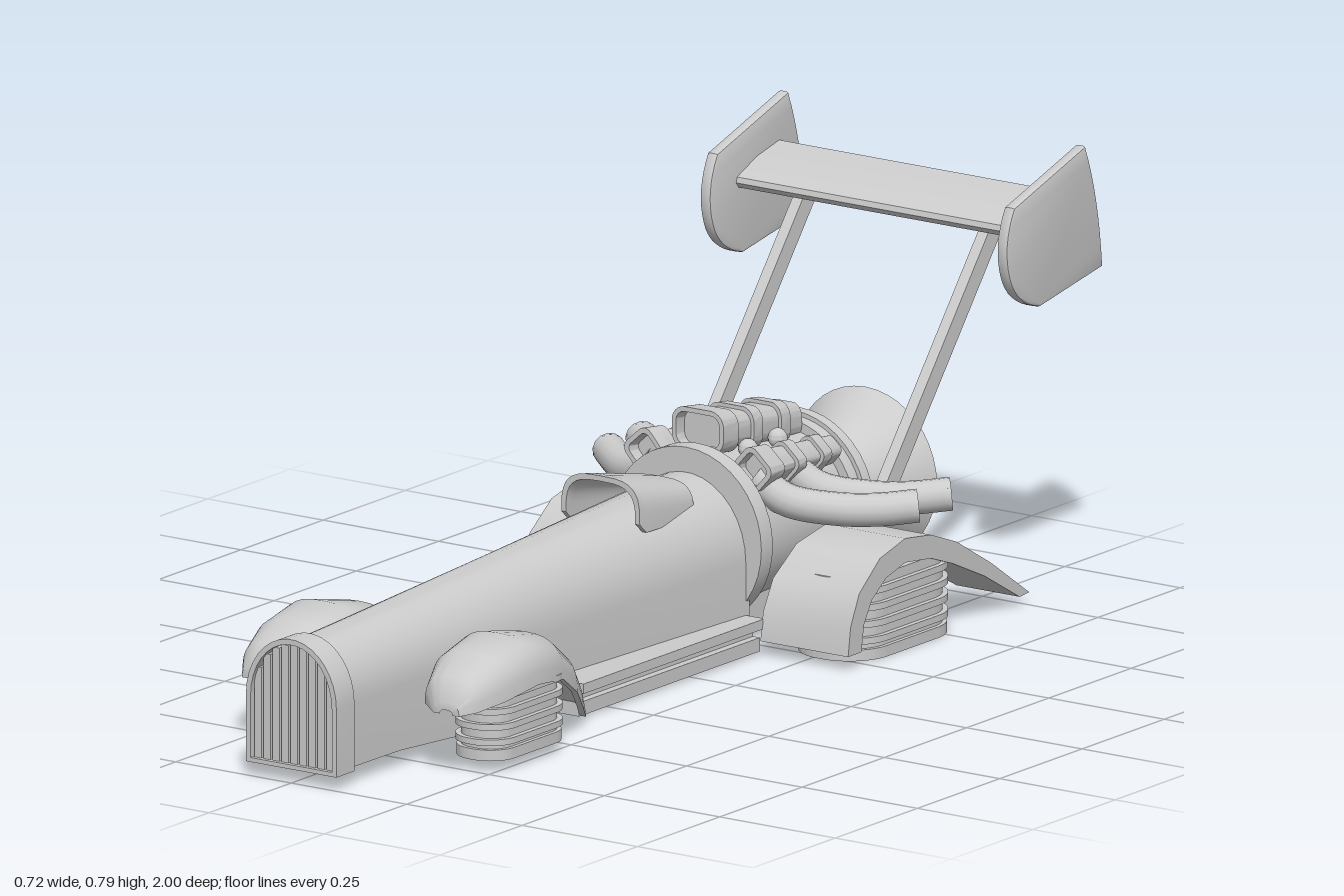
import * as THREE from 'three';
import { toCreasedNormals } from 'three/addons/utils/BufferGeometryUtils.js';

const mat = new THREE.MeshStandardMaterial({ color: 0xcccccc, side: THREE.DoubleSide });

function add(parent, name, geo, crease = 0.6) {
  const mesh = new THREE.Mesh(toCreasedNormals(geo, crease), mat);
  mesh.name = name;
  parent.add(mesh);
  return mesh;
}

const box = (x0, x1, y0, y1, z0, z1) =>
  new THREE.BoxGeometry(x1 - x0, y1 - y0, z1 - z0).translate((x0 + x1) / 2, (y0 + y1) / 2, (z0 + z1) / 2);

// Skin over closed rings running from front to back; each ring is counterclockwise and end-to-end symmetric
function loft(rings) {
  const n = rings[0].length, idx = [], last = (rings.length - 1) * n;
  for (let j = 0; j < rings.length - 1; j++)
    for (let i = 0; i < n; i++) {
      const a = j * n + i, b = j * n + (i + 1) % n;
      idx.push(a, a + n, b, b, a + n, b + n);
    }
  for (let i = 0; i < n / 2 - 1; i++) {
    const a = i, b = i + 1, c = n - 2 - i, d = n - 1 - i;
    idx.push(a, b, c, a, c, d);
    idx.push(last + a, last + c, last + b, last + a, last + d, last + c);
  }
  const geo = new THREE.BufferGeometry();
  geo.setAttribute('position', new THREE.Float32BufferAttribute(rings.flat(2), 3));
  geo.setIndex(idx);
  return geo;
}

// Arch outline with straight sides: half width, bottom, top
function archPoints(w, b, t) {
  const s = b + (t - b) * 0.52, pts = [[w, b]];
  for (let i = 0; i <= 17; i++) {
    const a = Math.PI * i / 17;
    pts.push([w * Math.cos(a), s + (t - s) * Math.sin(a)]);
  }
  pts.push([-w, b]);
  return pts;
}

// Ring of a thin arched shell
function shellRing(z, x0, x1, top, edge, power, thick) {
  const n = 16, ring = [], cx = (x0 + x1) / 2, hw = (x1 - x0) / 2;
  const put = (i, off) => {
    const a = Math.PI * i / n, c = Math.cos(a);
    ring.push([cx + (hw - off) * Math.sign(c) * Math.abs(c) ** power,
      edge + (top - off - edge) * Math.max(0, Math.sin(a)) ** power, z]);
  };
  for (let i = 0; i <= n; i++) put(i, 0);
  for (let i = n; i >= 0; i--) put(i, thick);
  return ring;
}

const toShape = pts => new THREE.Shape(pts.map(p => new THREE.Vector2(p[0], p[1])));

// Side profile of [z, y] points extruded across x
function sideExtrude(shape, x0, x1, bevel = 0) {
  return new THREE.ExtrudeGeometry(shape, {
    depth: x1 - x0, bevelEnabled: bevel > 0, bevelSize: bevel, bevelThickness: bevel, bevelSegments: 2, curveSegments: 8,
  }).rotateY(-Math.PI / 2).translate(x1, 0, 0);
}

function roundedRect(w, h, r) {
  const s = new THREE.Shape(), x = w / 2, y = h / 2;
  s.absarc(x - r, y - r, r, 0, Math.PI / 2);
  s.absarc(r - x, y - r, r, Math.PI / 2, Math.PI);
  s.absarc(r - x, r - y, r, Math.PI, Math.PI * 1.5);
  s.absarc(x - r, r - y, r, Math.PI * 1.5, Math.PI * 2);
  return s;
}

// Stack of rounded discs standing in for a wheel
function hoverPad(name, cx, cz, w, l, y0, y1) {
  const g = new THREE.Group();
  g.name = name;
  const slab = (part, inset, a, b) => add(g, part, new THREE.ExtrudeGeometry(
    roundedRect(w - 2 * inset, l - 2 * inset, w / 2 - inset - 0.005),
    { depth: b - a, bevelEnabled: false, curveSegments: 8 }).rotateX(-Math.PI / 2).translate(cx, a, cz));
  slab('padCore', 0.008, y0 + 0.005, y1);
  slab('padFoot', 0, y0, y0 + 0.02);
  const step = (y1 - y0) / 5;
  for (let i = 1; i < 5; i++) slab('padRib', -0.002, y0 + i * step, y0 + i * step + step * 0.4);
  return g;
}

// Tapered air scoop with an open mouth, placed around the engine axis
function scoop(angle, w, h, radius) {
  const g = new THREE.Group();
  g.name = 'airScoop';
  const len = 0.265;
  const make = (name, ow, oh, wall, front, back) => {
    const shape = roundedRect(ow, oh, ow * 0.25);
    if (wall) shape.holes.push(roundedRect(ow - wall * 2, oh - wall * 2, ow * 0.17));
    const geo = new THREE.ExtrudeGeometry(shape, { depth: front - back, steps: 3, bevelEnabled: false, curveSegments: 5 })
      .translate(0, 0, back);
    const p = geo.attributes.position;
    for (let i = 0; i < p.count; i++) {
      const t = -p.getZ(i) / len;
      p.setX(i, p.getX(i) * (1 - 0.25 * t));
      p.setY(i, p.getY(i) - 0.035 * t + radius + h / 2);
    }
    add(g, name, geo);
  };
  make('scoopMouth', w, h, 0.009, 0, -0.05);
  make('scoopBody', w - 0.014, h - 0.014, 0, -0.025, -len);
  for (const z of [-0.1, -0.19]) make('scoopBand', w, h, 0, z, z - 0.03);
  g.position.set(0, 0.19, -0.235);
  g.rotation.z = angle;
  return g;
}

// Everything repeated on both sides, made for +x
function makeSide(name) {
  const g = new THREE.Group();
  g.name = name;

  // Teardrop front fender: z, inner x, outer x, top, edge
  add(g, 'frontFender', loft([
    [0.82, 0.18, 0.235, 0.14, 0.118], [0.79, 0.14, 0.255, 0.18, 0.122], [0.73, 0.112, 0.273, 0.21, 0.132],
    [0.64, 0.1, 0.28, 0.226, 0.145], [0.54, 0.098, 0.262, 0.205, 0.13], [0.46, 0.098, 0.235, 0.155, 0.085],
    [0.4, 0.1, 0.205, 0.1, 0.04], [0.34, 0.1, 0.168, 0.035, 0.004],
  ].map(s => shellRing(...s, 0.75, 0.014))), 0.8);
  g.add(hoverPad('frontPad', 0.208, 0.63, 0.114, 0.23, 0.02, 0.16));
  add(g, 'frontAxle', box(0.08, 0.2, 0.09, 0.13, 0.6, 0.66));

  // Rear fender slab
  const outer = [[-0.76, 0.02], [-0.64, 0.1], [-0.53, 0.163], [-0.45, 0.193], [-0.37, 0.204],
    [-0.29, 0.185], [-0.225, 0.135], [-0.198, 0.08], [-0.19, 0.027]];
  const inner = [[-0.232, 0.027], [-0.24, 0.075], [-0.265, 0.115], [-0.31, 0.145], [-0.37, 0.16],
    [-0.45, 0.15], [-0.52, 0.125], [-0.62, 0.08], [-0.73, 0.018]];
  const fender = sideExtrude(toShape([...outer, ...inner]), 0.168, 0.358);
  const p = fender.attributes.position;
  for (let i = 0; i < p.count; i++) {
    const t = Math.max(0, (-0.19 - p.getZ(i)) / 0.57);
    p.setX(i, p.getX(i) + (p.getX(i) < 0.25 ? 0.042 : -0.014) * t);
  }
  add(g, 'rearFender', fender, 0.7);
  g.add(hoverPad('rearPad', 0.265, -0.395, 0.174, 0.32, 0, 0.15));
  add(g, 'rearAxle', box(0.08, 0.25, 0.08, 0.12, -0.43, -0.36));

  // Running board
  add(g, 'runningBoard', box(0.1, 0.17, 0.048, 0.066, -0.2, 0.35));
  add(g, 'boardSill', box(0.1, 0.16, 0.005, 0.03, -0.2, 0.35));
  add(g, 'boardWeb', box(0.1, 0.145, 0.03, 0.048, -0.2, 0.34));

  // Exhaust pipes
  for (const z of [-0.27, -0.37]) {
    const path = new THREE.CatmullRomCurve3([[0.1, 0.3, 0], [0.15, 0.262, -0.02], [0.22, 0.243, -0.075],
      [0.28, 0.241, -0.12], [0.335, 0.247, -0.165]].map(q => new THREE.Vector3(q[0], q[1], q[2] + z)));
    add(g, 'exhaustPipe', new THREE.TubeGeometry(path, 20, 0.03, 14));
    const cap = new THREE.CircleGeometry(0.03, 14);
    const t = path.getTangent(1), end = path.getPoint(1).addScaledVector(t, -0.006);
    cap.applyQuaternion(new THREE.Quaternion().setFromUnitVectors(new THREE.Vector3(0, 0, 1), t));
    add(g, 'exhaustCap', cap.translate(end.x, end.y, end.z));
  }

  // Wing strut and end plate
  add(g, 'wingStrut', sideExtrude(toShape([[-0.47, 0.2], [-0.515, 0.2], [-0.88, 0.66], [-0.835, 0.66]]), 0.19, 0.212));
  add(g, 'strutBracket', box(0.1, 0.212, 0.185, 0.215, -0.52, -0.465));
  const plate = new THREE.Shape();
  plate.moveTo(-0.735, 0.72);
  plate.lineTo(-0.945, 0.785);
  plate.quadraticCurveTo(-0.985, 0.69, -0.995, 0.565);
  plate.lineTo(-0.81, 0.533);
  plate.quadraticCurveTo(-0.74, 0.55, -0.722, 0.6);
  plate.quadraticCurveTo(-0.7, 0.66, -0.735, 0.72);
  add(g, 'wingEndPlate', sideExtrude(plate, 0.315, 0.328, 0.005));
  return g;
}

export function createModel() {
  const model = new THREE.Group();
  model.name = 'dragster';

  // Tapering body
  add(model, 'body', loft([[0.97, 0.09, 0.03, 0.25], [0.8, 0.092, 0.03, 0.258], [0.35, 0.1, 0.002, 0.282],
    [-0.21, 0.13, 0.002, 0.308]].map(([z, w, b, t]) => archPoints(w, b, t).map(q => [...q, z]))));
  add(model, 'floorPan', box(-0.108, 0.108, 0, 0.02, -0.2, 0.36));

  // Nose frame and grille
  const frame = toShape(archPoints(0.098, 0.025, 0.262));
  frame.holes.push(toShape(archPoints(0.088, 0.033, 0.252)));
  add(model, 'noseFrame', new THREE.ExtrudeGeometry(frame, { depth: 0.055, bevelEnabled: false }).translate(0, 0, 0.945));
  for (let i = -4; i <= 4; i++) {
    const x = i * 0.0195, top = 0.147 + 0.103 * Math.sqrt(1 - (x / 0.09) ** 2);
    add(model, 'grilleBar', box(x - 0.0075, x + 0.0075, 0.033, top, 0.965, 0.992));
  }

  // Cockpit hood
  add(model, 'cockpitHood', loft([[0.06, 0.085, 0.357, 0.28], [0.04, 0.086, 0.354, 0.262], [-0.12, 0.074, 0.318, 0.255]]
    .map(([z, w, t, e]) => shellRing(z, -w, w, t, e, 0.6, 0.01))));

  // Engine and nozzle: distance behind the middle, radius
  const turned = (name, pts) => add(model, name, new THREE.LatheGeometry(
    pts.map(([z, r]) => new THREE.Vector2(r, z)), 40).rotateX(-Math.PI / 2).translate(0, 0.19, 0));
  turned('engineCore', [[0.2, 0], [0.2, 0.163], [0.235, 0.163], [0.235, 0.145], [0.5, 0.135], [0.5, 0.152],
    [0.525, 0.152], [0.525, 0.16], [0.548, 0.16], [0.548, 0.138], [0.568, 0.138], [0.568, 0.1], [0.6, 0.085], [0.6, 0]]);
  turned('nozzle', [[0.57, 0.082], [0.61, 0.078], [0.65, 0.092], [0.7, 0.123], [0.745, 0.155],
    [0.745, 0.147], [0.7, 0.115], [0.65, 0.084], [0.605, 0.068], [0.605, 0]]);
  add(model, 'engineSump', box(-0.09, 0.09, 0.015, 0.1, -0.5, -0.2));

  // Air scoops
  model.add(scoop(0, 0.112, 0.078, 0.147));
  for (const s of [-1, 1]) model.add(scoop(s * 0.73, 0.07, 0.065, 0.145));
  for (const s of [-1, 1]) for (const z of [-0.29, -0.38])
    add(model, 'scoopLink', new THREE.SphereGeometry(0.018, 12, 8).translate(s * 0.07, 0.342, z));

  // Rear wing
  add(model, 'wing', sideExtrude(toShape([[-0.795, 0.65], [-0.787, 0.66], [-0.79, 0.67], [-0.85, 0.695],
    [-0.918, 0.71], [-0.918, 0.695], [-0.87, 0.655]]), -0.315, 0.315));

  // Both sides
  model.add(makeSide('leftSide'));
  const right = makeSide('rightSide');
  right.scale.x = -1;
  model.add(right);
  return model;
}
